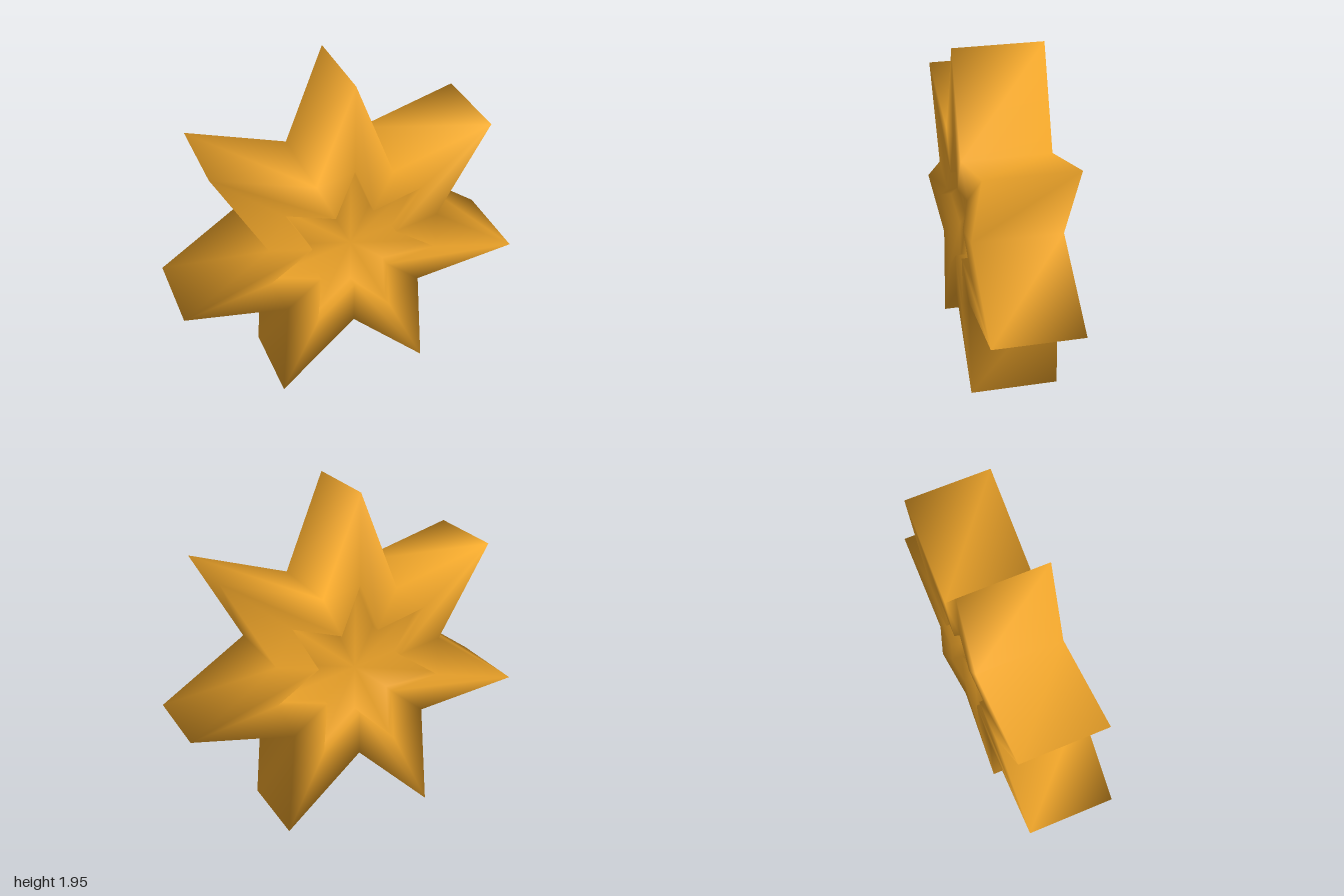
import * as THREE from 'three';

const POINTS = 7;
const RADIUS = 1.0257; // tip radius
const HALF = 0.255;    // half thickness
const FLOOR = 0.19;    // height of the recessed star floor
const CENTRE_Y = 0.924;

// Star outlines from the front centre, over the rim, to the back centre: [scale, z]
const SECTIONS = [
  [0, FLOOR], [0.5, FLOOR], [0.5, HALF], [1, HALF],
  [1, -HALF], [0.5, -HALF], [0.5, -FLOOR], [0, -FLOOR],
];

function starGeometry() {
  const n = POINTS * 2;
  const positions = [];
  const index = [];
  const rings = SECTIONS.map(([scale, z]) => {
    const start = positions.length / 3;
    const count = scale === 0 ? 1 : n; // a centre is one shared point
    for (let k = 0; k < count; k++) {
      const a = Math.PI / 2 + (k * Math.PI) / POINTS;
      const r = RADIUS * scale * (k % 2 ? 0.5 : 1);
      positions.push(r * Math.cos(a), r * Math.sin(a), z);
    }
    return (k) => start + (k % count);
  });
  // Join neighbouring outlines; skip the collapsed triangles at the centres
  for (let i = 0; i < rings.length - 1; i++) {
    const p = rings[i], q = rings[i + 1];
    for (let k = 0; k < n; k++) {
      if (q(k) !== q(k + 1)) index.push(p(k), q(k), q(k + 1));
      if (p(k) !== p(k + 1)) index.push(p(k), q(k + 1), p(k + 1));
    }
  }
  const geometry = new THREE.BufferGeometry();
  geometry.setAttribute('position', new THREE.Float32BufferAttribute(positions, 3));
  geometry.setIndex(index);
  geometry.computeVertexNormals(); // smooth across all edges
  return geometry;
}

export function createModel() {
  const group = new THREE.Group();
  group.name = 'sevenPointedStar';
  const star = new THREE.Mesh(starGeometry(), new THREE.MeshStandardMaterial({ color: 0xf5a92b }));
  star.name = 'starBody';
  star.position.y = CENTRE_Y;
  group.add(star);
  return group;
}
